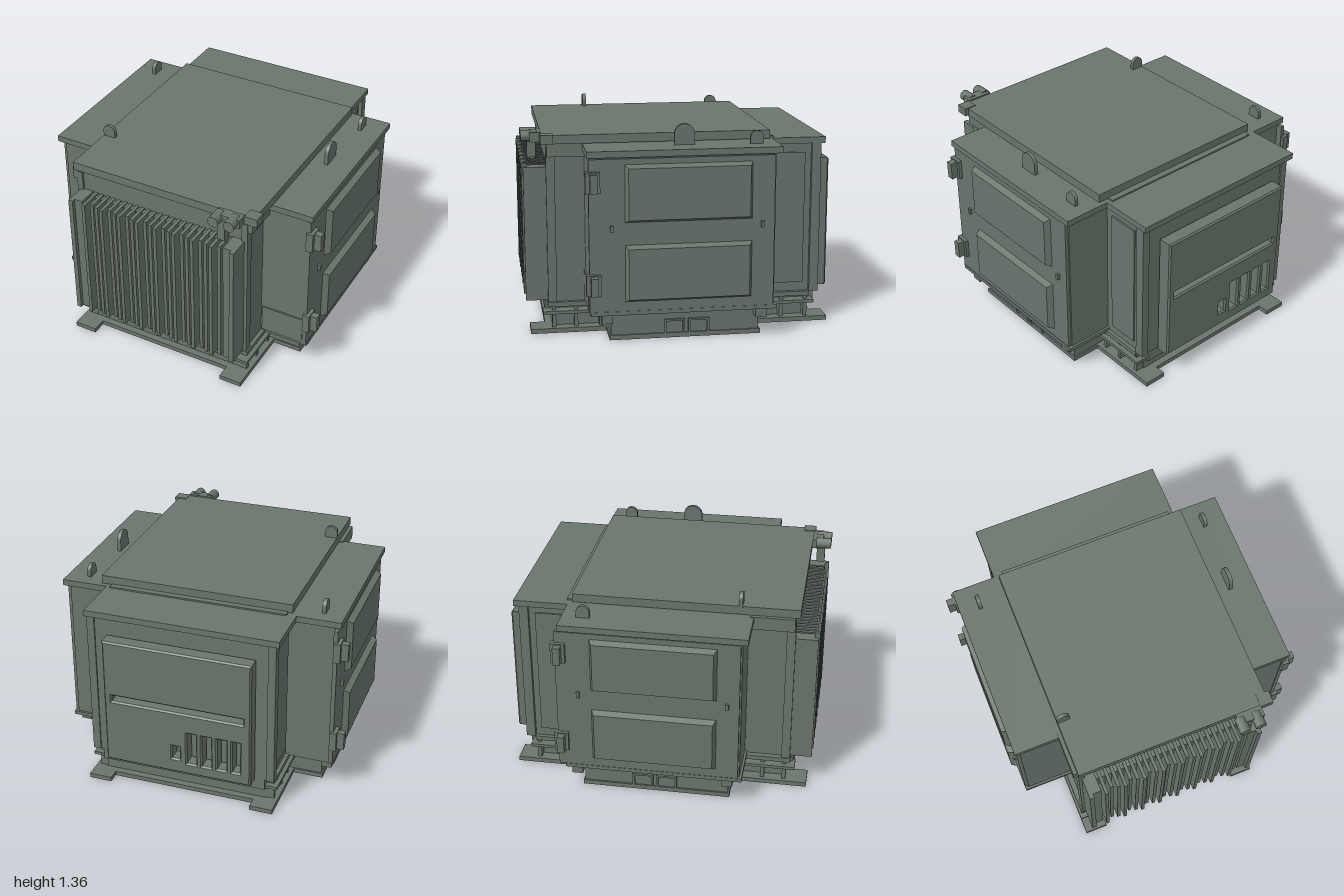
import * as THREE from 'three';

const paint = new THREE.MeshStandardMaterial({ color: 0x69756d, roughness: 0.7, side: THREE.DoubleSide });

export function createModel() {
  const model = new THREE.Group();

  function add(name, geometry, parent = model) {
    const mesh = new THREE.Mesh(geometry, paint);
    mesh.name = name;
    parent.add(mesh);
    return mesh;
  }
  // Box given by its lower and upper limits on each axis
  function box(name, x0, x1, y0, y1, z0, z1, parent) {
    const g = new THREE.BoxGeometry(x1 - x0, y1 - y0, z1 - z0);
    g.translate((x0 + x1) / 2, (y0 + y1) / 2, (z0 + z1) / 2);
    return add(name, g, parent);
  }
  // Raised panel facing +x, its outer face inset by a bevel
  function raisedPanel(name, x0, x1, y0, y1, z0, z1, bevel, parent) {
    const g = new THREE.BoxGeometry(x1 - x0, y1 - y0, z1 - z0);
    const p = g.attributes.position;
    for (let i = 0; i < p.count; i++) {
      if (p.getX(i) > 0) {
        p.setY(i, p.getY(i) - Math.sign(p.getY(i)) * bevel);
        p.setZ(i, p.getZ(i) - Math.sign(p.getZ(i)) * bevel);
      }
    }
    g.translate((x0 + x1) / 2, (y0 + y1) / 2, (z0 + z1) / 2);
    g.computeVertexNormals();
    return add(name, g, parent);
  }
  // Round-topped lifting lug with an eye, standing on the roof
  function liftingLug(x, y, z, r, h, alongZ) {
    const s = new THREE.Shape();
    s.moveTo(-r, 0);
    s.lineTo(-r, h - r);
    s.absarc(0, h - r, r, Math.PI, 0, true);
    s.lineTo(r, 0);
    const g = new THREE.ExtrudeGeometry(s, { depth: 0.024, bevelEnabled: false, curveSegments: 10 });
    g.translate(0, 0, -0.012);
    if (alongZ) g.rotateY(Math.PI / 2);
    add('liftingLug', g).position.set(x, y, z);
  }

  // Core cabinet and roofs
  box('coreBody', -0.58, 0.59, 0.2, 1.23, -0.6, 0.83);
  box('rearBody', -0.59, 0.59, 0.2, 1.19, -0.9, -0.5);
  box('rearRoof', -0.64, 0.62, 1.18, 1.22, -0.935, -0.5);
  box('mainRoof', -0.61, 0.66, 1.225, 1.28, -0.56, 0.87);
  for (const s of [-1, 1]) {
    box('roofBracket', s * 0.6 - 0.035, s * 0.6 + 0.035, 1.14, 1.225, 0.56, 0.84);
    box('frontPost', s * 0.585 - 0.02, s * 0.585 + 0.02, 0.2, 1.2, 0.79, 0.845);
    box('rearPost', s * 0.59 - 0.025, s * 0.59 + 0.025, 0.2, 1.18, -0.91, -0.85);
    box('rearSidePanel', s * 0.59 - 0.01, s * 0.59 + 0.01, 0.26, 1.12, -0.81, -0.6);
  }

  // Side cabinet, hinged at one end; the other side is the same turned half round
  function sideCabinet(name, frontEnd) {
    const g = new THREE.Group();
    g.name = name;
    model.add(g);
    box('cabinetShell', 0.5, 0.89, 0.2, 1.18, -0.55, frontEnd, g);
    box('cabinetDoor', 0.885, 0.912, 0.21, 1.17, -0.54, 0.61, g);
    box('cabinetRoof', 0.5, 0.925, 1.18, 1.22, -0.585, frontEnd + 0.015, g);
    box('bottomLip', 0.5, 0.915, 0.19, 0.215, -0.565, frontEnd, g);
    raisedPanel('upperDoorPanel', 0.91, 0.95, 0.775, 1.135, -0.4, 0.39, 0.02, g);
    raisedPanel('lowerDoorPanel', 0.91, 0.95, 0.275, 0.635, -0.4, 0.39, 0.02, g);
    for (const y of [0.39, 1.03]) {
      box('hingeLeaf', 0.89, 0.935, y - 0.065, y + 0.065, 0.54, 0.63, g);
      const knuckle = box('hingeKnuckle', 0.925, 0.98, y - 0.058, y + 0.058, 0.56, 0.605, g);
      knuckle.rotation.y = 0;
    }
    for (const z of [-0.465, 0.47]) box('doorLatch', 0.91, 0.93, 0.72, 0.76, z - 0.01, z + 0.01, g);
    for (const z of [-0.47, 0.5]) box('bottomBracket', 0.82, 0.89, 0.13, 0.2, z - 0.035, z + 0.035, g);
    return g;
  }
  sideCabinet('leftCabinet', 0.605);
  sideCabinet('rightCabinet', 0.57).rotation.y = Math.PI;
  box('lowerFrontBox', 0.6, 0.885, 0.215, 0.4, 0.6, 0.615);

  // Cooling fins between end plates
  const fins = new THREE.Group();
  fins.name = 'coolingFins';
  model.add(fins);
  for (const s of [-1, 1]) {
    box('finEndPlate', s * 0.57 - 0.015, s * 0.57 + 0.015, 0.21, 1.07, 0.83, 0.985, fins);
    box('finEndColumn', s * 0.53 - 0.03, s * 0.53 + 0.03, 0.21, 1.07, 0.83, 0.96, fins);
  }
  for (let i = 0; i < 23; i++) {
    const x = -0.473 + i * 0.043;
    const front = [0.99, 0.96, 0.975][i % 3];
    box('fin', x - 0.011, x + 0.011, 0.21, 1.07, 0.83, front, fins);
  }
  box('finBacking', -0.56, 0.56, 0.21, 1.06, 0.83, 0.875, fins);

  // Rear panel with a long slot and louvre openings
  const panel = new THREE.Shape();
  panel.moveTo(-0.49, 0.2);
  panel.lineTo(0.48, 0.2);
  panel.lineTo(0.48, 1.06);
  panel.lineTo(-0.49, 1.06);
  panel.closePath();
  const openings = [
    [-0.44, 0.43, 0.64, 0.68], [-0.02, 0.03, 0.3, 0.39],
    [-0.13, -0.07, 0.28, 0.5], [-0.23, -0.17, 0.28, 0.5],
    [-0.33, -0.27, 0.28, 0.5], [-0.42, -0.37, 0.28, 0.5]
  ];
  for (const [x0, x1, y0, y1] of openings) {
    const hole = new THREE.Path();
    hole.moveTo(x0, y0);
    hole.lineTo(x0, y1);
    hole.lineTo(x1, y1);
    hole.lineTo(x1, y0);
    hole.closePath();
    panel.holes.push(hole);
  }
  const rearPanel = new THREE.ExtrudeGeometry(panel, {
    depth: 0.08, bevelEnabled: true, bevelSegments: 1, bevelSize: 0.01, bevelOffset: -0.01, bevelThickness: 0.01
  });
  add('rearPanel', rearPanel).position.z = -0.99;

  // Cross-shaped base with plinth, skids and flanges
  box('baseCentre', -0.55, 0.55, 0, 0.2, -0.85, 0.82);
  box('baseWings', -0.81, 0.81, 0, 0.2, -0.47, 0.47);
  box('baseWingLip', -0.82, 0.82, 0, 0.03, -0.48, 0.48);
  for (const z of [0.84, -0.87]) {
    box('baseRail', -0.55, 0.55, 0.12, 0.2, z - 0.025, z + 0.025);
    box('baseLowerRail', -0.5, 0.5, 0, 0.03, z - 0.025, z + 0.025);
  }
  for (const s of [-1, 1]) {
    box('skid', s * 0.55 - 0.075, s * 0.55 + 0.075, 0, 0.03, -0.97, 0.96);
    for (const e of [-1, 1]) {
      const z = e * 0.67;
      box('cornerFlange', s * 0.58 - 0.05, s * 0.58 + 0.05, 0.125, 0.145, z - 0.21, z + 0.21);
      box('cornerUpperFlange', s * 0.58 - 0.035, s * 0.58 + 0.035, 0.17, 0.2, z - 0.18, z + 0.18);
      for (const d of [-0.16, 0, 0.14]) box('cornerRib', s * 0.57 - 0.03, s * 0.57 + 0.03, 0.03, 0.2, z + d - 0.012, z + d + 0.012);
    }
    // Framed lifting pockets in the plinth
    for (const z of [0.07, -0.085]) {
      for (const d of [-0.06, 0.06]) box('pocketSide', s * 0.815 - 0.012, s * 0.815 + 0.012, 0.03, 0.12, z + d - 0.007, z + d + 0.007);
      box('pocketTop', s * 0.815 - 0.012, s * 0.815 + 0.012, 0.108, 0.12, z - 0.06, z + 0.06);
    }
  }

  // Lifting lugs
  liftingLug(0.755, 1.22, 0, 0.064, 0.13, true);
  liftingLug(-0.57, 1.27, 0.5, 0.042, 0.09, false);
  for (const x of [-0.79, 0.78]) liftingLug(x, 1.21, -0.45, 0.042, 0.09, true);

  // Clamp hanging at the front corner of the roof
  const clamp = new THREE.Group();
  clamp.name = 'roofClamp';
  model.add(clamp);
  box('clampBar', 0.43, 0.6, 1.23, 1.29, 0.87, 0.94, clamp);
  box('clampCorner', 0.6, 0.685, 1.23, 1.285, 0.8, 0.88, clamp);
  box('clampTongue', 0.46, 0.51, 1.12, 1.26, 0.9, 0.955, clamp);
  for (const x of [0.45, 0.555]) {
    const g = new THREE.CylinderGeometry(0.036, 0.036, 0.1, 10);
    g.rotateX(Math.PI / 2);
    add('clampBolt', g, clamp).position.set(x, 1.265, 0.945);
  }
  return model;
}
